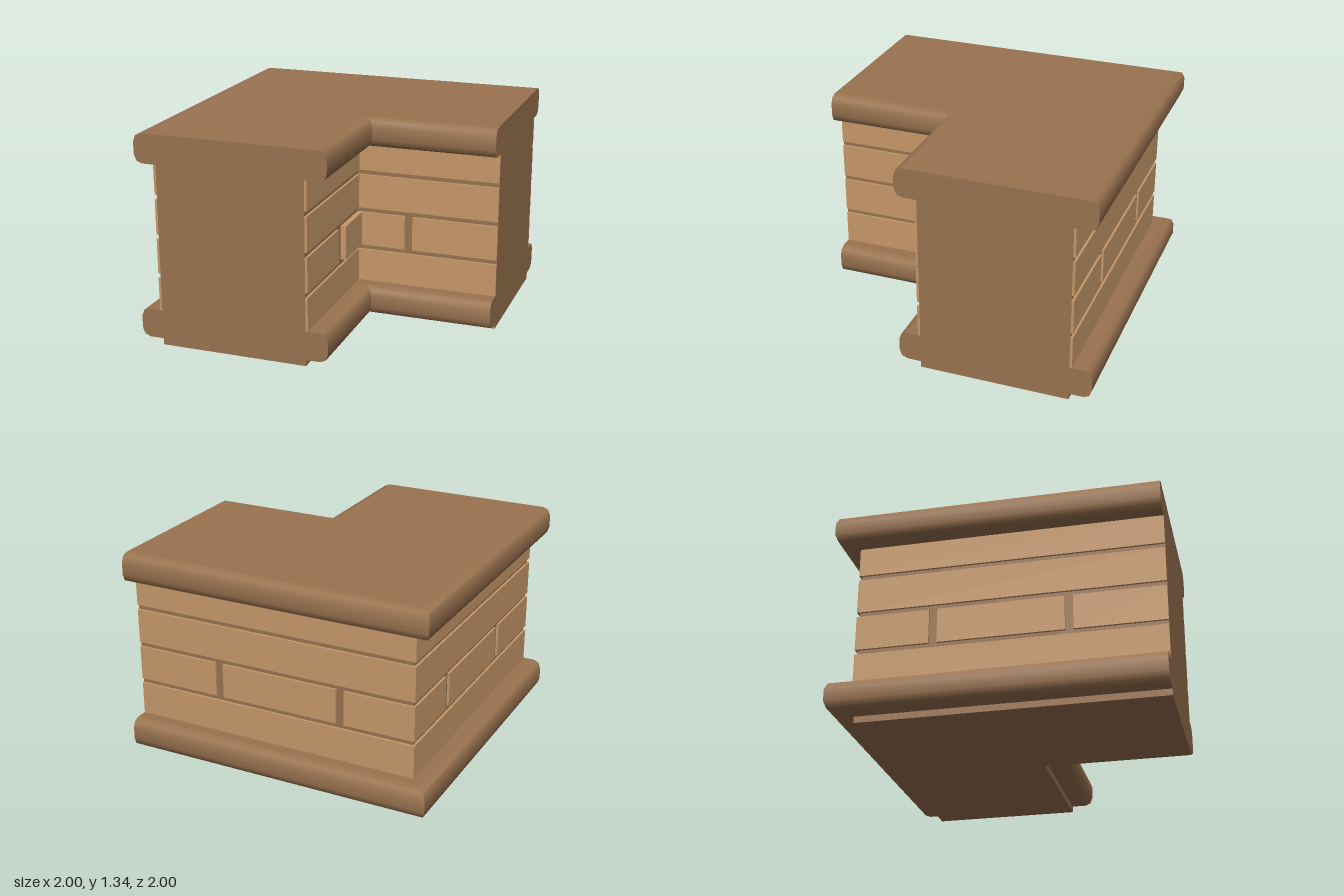
import * as THREE from 'three';
import { toCreasedNormals } from 'three/addons/utils/BufferGeometryUtils.js';

const MID = -0.39; // centre line of both arms

export function createModel() {
  const group = new THREE.Group();
  const stone = new THREE.MeshStandardMaterial({ color: 0x9a7350 });
  stone.name = 'brownStone';
  const brickMat = new THREE.MeshStandardMaterial({ color: 0xc7986a });
  brickMat.name = 'lightBrick';

  const add = (geometry, material, name) => {
    const mesh = new THREE.Mesh(geometry, material);
    mesh.name = name;
    group.add(mesh);
  };

  // Sweeps a convex counter-clockwise profile of [offset, y] round the corner, with a mitre
  function cornerSweep(profile) {
    const stations = [
      ([d, y]) => [1, y, MID + d],
      ([d, y]) => [MID + d, y, MID + d],
      ([d, y]) => [MID + d, y, 1],
    ].map((place) => profile.map(place));
    const pos = [];
    const tri = (a, b, c) => pos.push(...a, ...b, ...c);
    const n = profile.length;
    for (let s = 0; s < 2; s++) {
      const A = stations[s], B = stations[s + 1];
      for (let i = 0; i < n; i++) {
        const j = (i + 1) % n;
        tri(A[i], A[j], B[j]);
        tri(A[i], B[j], B[i]);
      }
    }
    // End caps
    for (let i = 1; i < n - 1; i++) {
      tri(stations[0][0], stations[0][i + 1], stations[0][i]);
      tri(stations[2][0], stations[2][i], stations[2][i + 1]);
    }
    const geometry = new THREE.BufferGeometry();
    geometry.setAttribute('position', new THREE.Float32BufferAttribute(pos, 3));
    return toCreasedNormals(geometry, 0.87);
  }

  // Wall core, showing as mortar between the bricks
  add(cornerSweep([[-0.47, 0], [0.47, 0], [0.47, 1.3], [-0.47, 1.3]]), stone, 'wallCore');

  // Rounded mouldings at the foot and the top
  const side = [[0.54, 0], [0.56, 0], [0.595, 0.015], [0.61, 0.055],
    [0.61, 0.13], [0.595, 0.17], [0.56, 0.185], [0.54, 0.185]];
  const moulding = (y0) => cornerSweep([
    ...side.map(([d, y]) => [d, y0 + y]),
    ...side.slice().reverse().map(([d, y]) => [-d, y0 + y]),
  ]);
  add(moulding(0.04), stone, 'baseMoulding');
  add(moulding(1.15), stone, 'topMoulding');

  // One brick: a..b along the arm, c..d across it; swapped for the arm along z
  function brick(a, b, c, d, y0, y1, alongZ, name) {
    const geometry = new THREE.BoxGeometry(
      alongZ ? d - c : b - a, y1 - y0, alongZ ? b - a : d - c);
    const u = (a + b) / 2, v = (c + d) / 2;
    geometry.translate(alongZ ? v : u, (y0 + y1) / 2, alongZ ? u : v);
    add(geometry, brickMat, name);
  }

  // Four courses; only the second has upright joints
  const courses = [[0.225, 0.435], [0.465, 0.685], [0.715, 0.935], [0.965, 1.15]];
  courses.forEach(([y0, y1], row) => {
    const jointed = row === 1;
    for (const alongZ of [false, true]) {
      const start = alongZ ? -0.86 : -0.875;
      const outer = jointed
        ? [[start, -0.42], [-0.37, 0.4], [0.45, 1]] : [[start, 1]];
      const inner = jointed ? [[0.08, 0.4], [0.45, 1]] : [[0.08, 1]];
      for (const [a, b] of outer) brick(a, b, -0.875, -0.86, y0, y1, alongZ, 'outerBrick');
      inner.forEach(([a, b], i) => {
        // One brick beside the inner corner stands proud
        const face = jointed && alongZ && i === 0 ? 0.115 : 0.095;
        brick(alongZ ? a + 0.015 : a, b, 0.08, face, y0, y1, alongZ, 'innerBrick');
      });
    }
  });

  return group;
}
